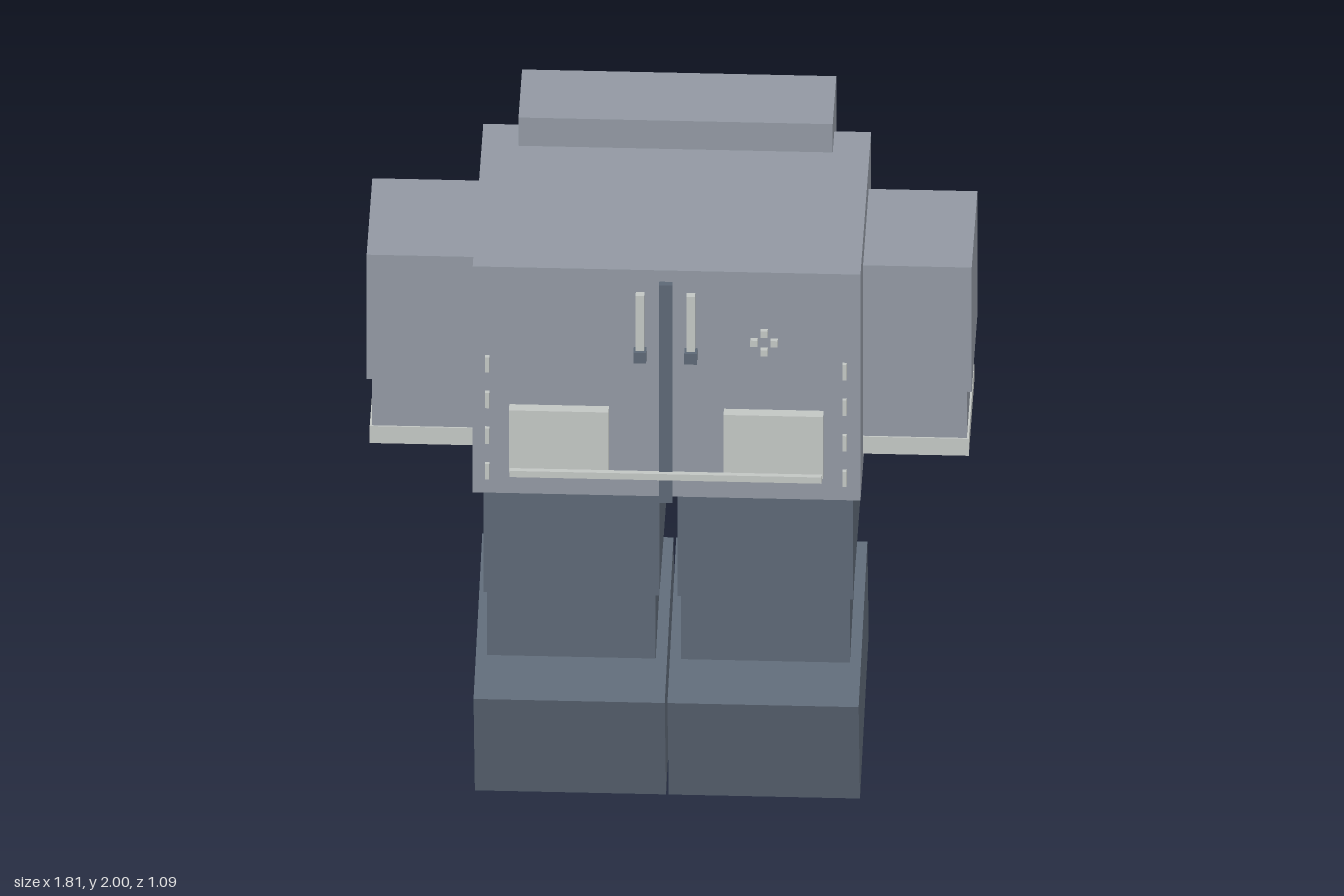
import * as THREE from 'three';

const jacketGrey = new THREE.MeshStandardMaterial({ name: 'jacketGrey', color: 0x949aa5 });
const slate = new THREE.MeshStandardMaterial({ name: 'slate', color: 0x5e6977 });
const paleTrim = new THREE.MeshStandardMaterial({ name: 'paleTrim', color: 0xc5c9c6 });

// Box given by its extents on each axis
function block(parent, name, material, [x0, x1], [y0, y1], [z0, z1]) {
  const mesh = new THREE.Mesh(new THREE.BoxGeometry(x1 - x0, y1 - y0, z1 - z0), material);
  mesh.position.set((x0 + x1) / 2, (y0 + y1) / 2, (z0 + z1) / 2);
  mesh.name = name;
  parent.add(mesh);
  return mesh;
}

// The same box on the left (+x) and right (-x) side
function pair(parent, name, material, [x0, x1], y, z) {
  return [
    block(parent, name + 'Left', material, [x0, x1], y, z),
    block(parent, name + 'Right', material, [-x1, -x0], y, z),
  ];
}

function group(parent, name) {
  const g = new THREE.Group();
  g.name = name;
  parent.add(g);
  return g;
}

export function createModel() {
  const model = new THREE.Group();
  model.name = 'outfit';

  // Jacket body and hood
  const jacket = group(model, 'jacket');
  block(jacket, 'torso', jacketGrey, [-0.58, 0.58], [1.1, 1.9], [-0.395, 0.4]);
  block(jacket, 'hood', jacketGrey, [-0.47, 0.47], [1.62, 2], [-0.545, -0.277]);

  // Sleeves with cuffs
  const sleeves = group(model, 'sleeves');
  pair(sleeves, 'upperSleeve', jacketGrey, [0.58, 0.905], [1.37, 1.81], [-0.22, 0.206]);
  pair(sleeves, 'lowerSleeve', jacketGrey, [0.58, 0.89], [1.15, 1.37], [-0.21, 0.196]);
  pair(sleeves, 'cuff', paleTrim, [0.58, 0.896], [1.14, 1.2], [-0.215, 0.201]);

  // Front details, standing slightly off the jacket
  const details = group(model, 'frontDetails');
  block(details, 'zip', slate, [-0.02, 0.02], [1.12, 1.89], [0.447, 0.468]);
  block(details, 'hemBar', paleTrim, [-0.467, 0.467], [1.208, 1.23], [0.465, 0.481]);
  pair(details, 'pocket', paleTrim, [0.172, 0.47], [1.2, 1.42], [0.408, 0.443]);
  pair(details, 'drawstring', paleTrim, [0.063, 0.089], [1.67, 1.87], [0.476, 0.497]);
  pair(details, 'drawstringTip', slate, [0.057, 0.095], [1.637, 1.675], [0.475, 0.508]);
  for (let i = 0; i < 4; i++) {
    const y = 1.213 + i * 0.126;
    pair(details, 'sideStitch' + i, paleTrim, [0.528, 0.541], [y - 0.027, y + 0.027], [0.449, 0.462]);
  }

  // Chest emblem: four small studs in a diamond
  for (const [dx, dy] of [[-1, 0], [1, 0], [0, -1], [0, 1]]) {
    const x = 0.297 + dx * 0.03, y = 1.739 + dy * 0.033;
    block(details, 'stud', paleTrim, [x - 0.011, x + 0.011], [y - 0.011, y + 0.011], [0.53, 0.545]);
  }

  // Trouser legs
  const legs = group(model, 'legs');
  pair(legs, 'thigh', slate, [0.027, 0.552], [0.667, 1.038], [-0.283, 0.272]);
  pair(legs, 'shin', slate, [0.038, 0.543], [0.28, 0.667], [-0.272, 0.262]);

  // Boots, tipped forward onto the toe edge
  const boots = pair(legs, 'boot', slate, [0.004, 0.576], [0.083, 0.483], [-0.28, 0.398]);
  for (const boot of boots) boot.rotation.x = THREE.MathUtils.degToRad(14.5);

  return model;
}
